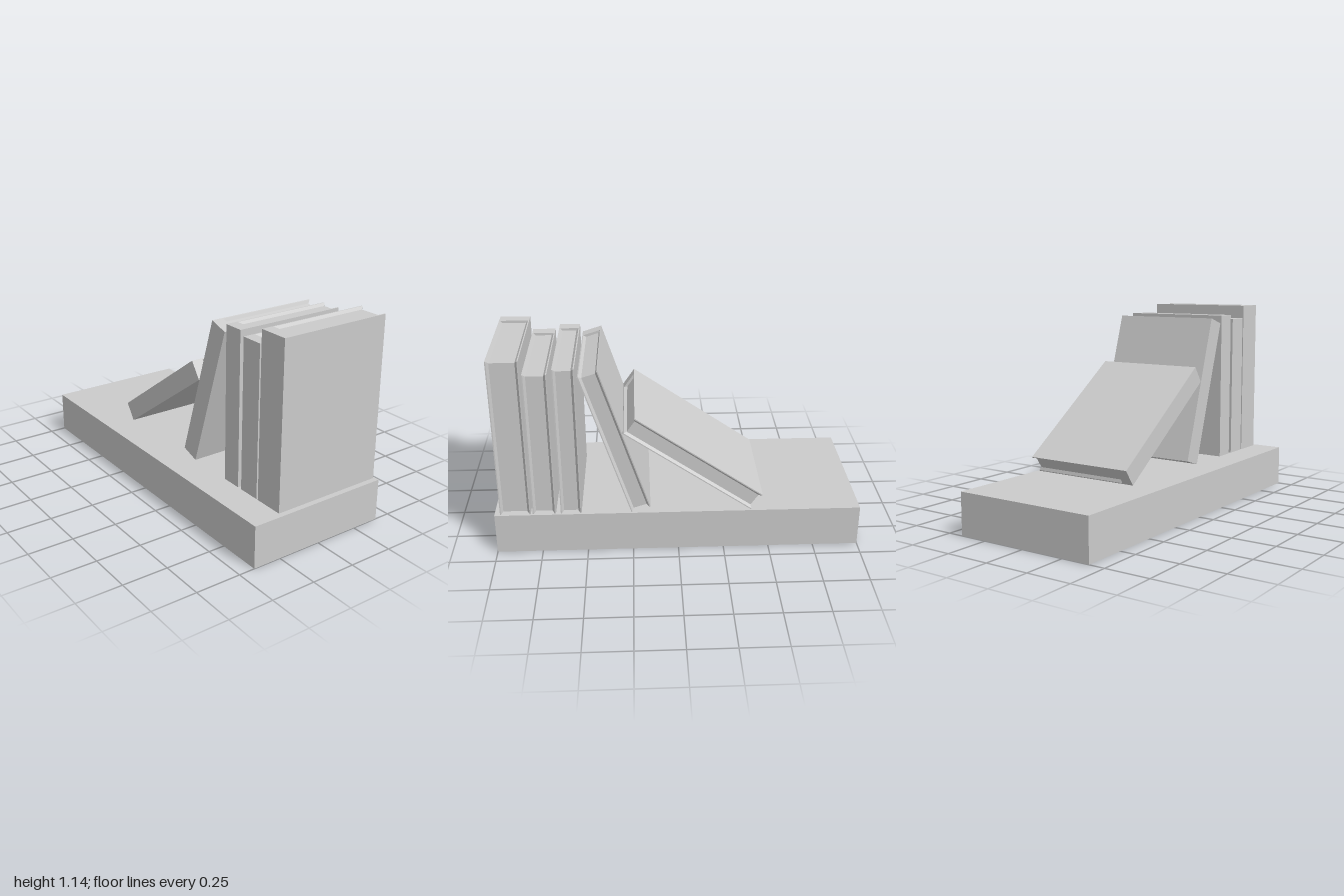
import * as THREE from 'three';

const material = new THREE.MeshStandardMaterial({ color: 0xcccccc, flatShading: true });
const SHELF_TOP = 0.234, SPINE_X = -0.24, PAGE_X = -0.175, FORE_X = 0.4;
const RIM = 0.006, COVER = 0.018, INSET = 0.0135;

function box(name, x0, x1, y0, y1, z0, z1) {
  const geometry = new THREE.BoxGeometry(x1 - x0, y1 - y0, z1 - z0);
  geometry.translate((x0 + x1) / 2, (y0 + y1) / 2, (z0 + z1) / 2);
  const mesh = new THREE.Mesh(geometry, material);
  mesh.name = name;
  return mesh;
}

// Cover board whose inner side (+z) slopes down to the page block
function cover(name, height) {
  const group = new THREE.Group();
  group.name = name;
  const h = height / 2;
  const slope = box('coverSlope', PAGE_X, FORE_X, -h, h, RIM, COVER);
  const p = slope.geometry.attributes.position;
  for (let i = 0; i < p.count; i++) {
    if (p.getZ(i) < (RIM + COVER) / 2) continue;
    p.setY(i, Math.sign(p.getY(i)) * (h - INSET));
    if (p.getX(i) > 0) p.setX(i, FORE_X - INSET);
  }
  slope.geometry.computeVertexNormals();
  group.add(box('coverBoard', PAGE_X, FORE_X, -h, h, 0, RIM), slope);
  group.position.y = h;
  return group;
}

// Book standing on its front bottom edge, tilted towards +z
function book(name, frontZ, height, thickness, tilt) {
  const group = new THREE.Group();
  group.name = name;
  const back = cover('backCover', height);
  back.position.z = -thickness;
  const front = cover('frontCover', height);
  front.rotation.x = Math.PI;
  group.add(
    back, front,
    box('spine', SPINE_X, PAGE_X, 0, height, -thickness, 0),
    box('pages', PAGE_X, FORE_X - INSET, INSET, height - INSET, COVER - thickness, -COVER)
  );
  group.position.set(0, SHELF_TOP, frontZ);
  group.rotation.x = THREE.MathUtils.degToRad(tilt);
  return group;
}

export function createModel() {
  const model = new THREE.Group();
  model.name = 'bookShelf';
  model.add(box('shelf', -0.41, 0.41, 0, SHELF_TOP, -1, 1));

  // Front edge z, height, thickness, tilt in degrees
  const books = [
    [0.97, 0.902, 0.166, 0],
    [0.793, 0.826, 0.126, 0],
    [0.641, 0.852, 0.113, 0],
    [0.257, 0.847, 0.11, 17.7],
    [-0.397, 0.84, 0.109, 55.1],
  ];
  books.forEach((b, i) => model.add(book(`book${i + 1}`, ...b)));
  return model;
}
